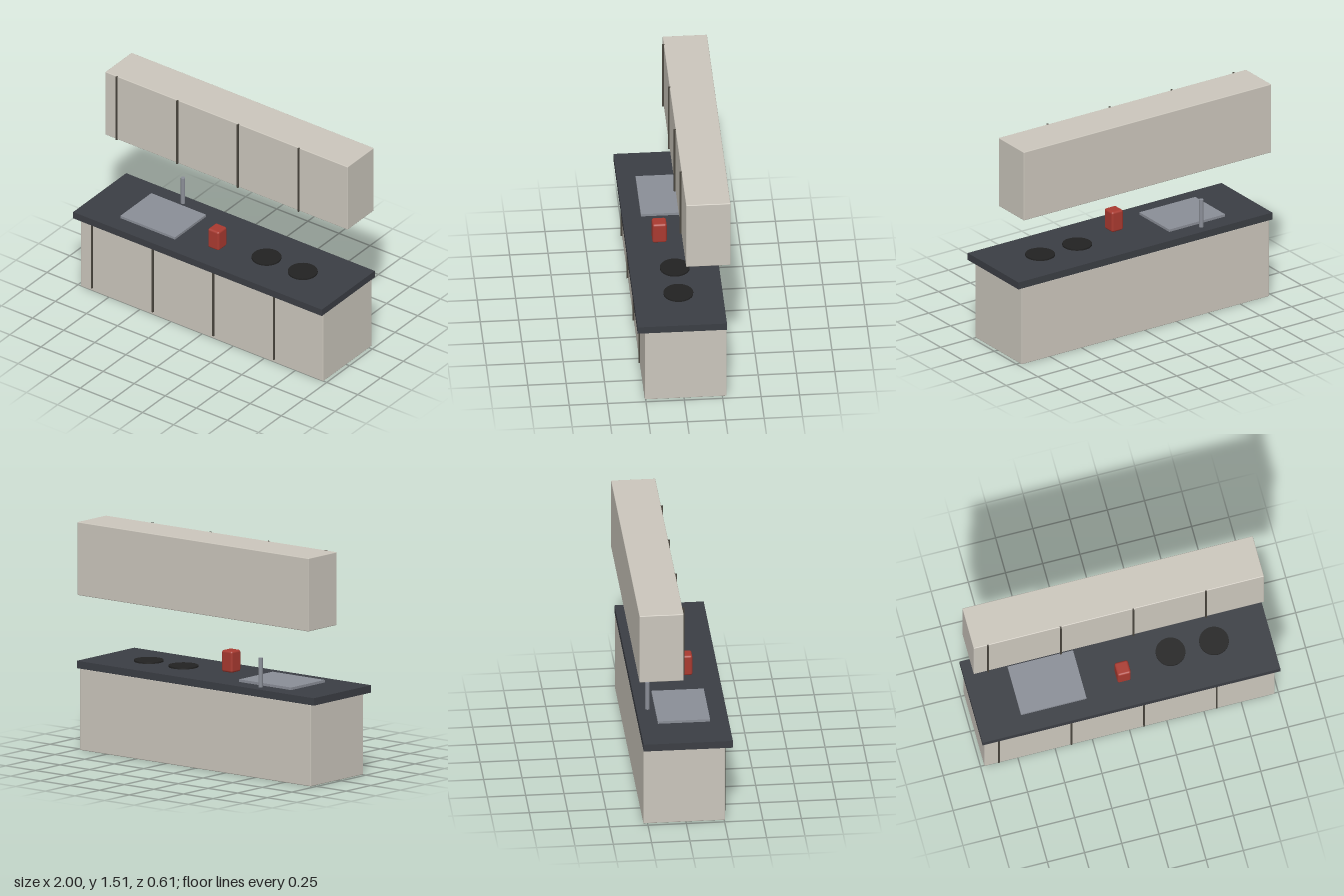
import * as THREE from 'three';
import { RoundedBoxGeometry } from 'three/addons/geometries/RoundedBoxGeometry.js';

const mat = (color) => new THREE.MeshStandardMaterial({ color });
const cream = mat(0xcbc6bc), slate = mat(0x3b3e44), seam = mat(0x4a463e);
const steel = mat(0x8a8e97), black = mat(0x222222), red = mat(0xa93a30);

export function createModel() {
  const model = new THREE.Group();
  model.name = 'kitchenUnit';

  const add = (name, geometry, material, x, y, z) => {
    const mesh = new THREE.Mesh(geometry, material);
    mesh.name = name;
    mesh.position.set(x, y, z);
    model.add(mesh);
  };
  // Box given by its lower and upper corners, optionally with softened edges
  const box = (name, material, [x0, y0, z0], [x1, y1, z1], radius = 0) => {
    const size = [x1 - x0, y1 - y0, z1 - z0];
    const geometry = radius
      ? new RoundedBoxGeometry(...size, 2, radius)
      : new THREE.BoxGeometry(...size);
    add(name, geometry, material, (x0 + x1) / 2, (y0 + y1) / 2, (z0 + z1) / 2);
  };

  // Cabinets and worktop
  box('baseCabinet', cream, [-0.975, 0, -0.278], [0.975, 0.54, 0.255], 0.005);
  box('wallCabinet', cream, [-0.975, 1.028, -0.303], [0.975, 1.512, -0.014], 0.005);
  box('worktop', slate, [-1, 0.538, -0.278], [1, 0.587, 0.304]);

  // Door seams on both cabinet fronts
  for (let i = 0; i < 4; i++) {
    const x = -0.88 + i * 0.488, w = 0.005;
    box('baseDoorSeam', seam, [x - w, 0.025, 0.25], [x + w, 0.514, 0.267]);
    box('wallDoorSeam', seam, [x - w, 1.028, -0.018], [x + w, 1.512, -0.002]);
  }

  // Sink plate and tap
  box('sink', steel, [-0.71, 0.58, -0.158], [-0.27, 0.604, 0.183]);
  add('tap', new THREE.CylinderGeometry(0.0145, 0.0145, 0.2, 16), steel, -0.49, 0.681, -0.205);

  // Hob plates
  for (const x of [0.34, 0.632]) {
    add('hobPlate', new THREE.CylinderGeometry(0.097, 0.097, 0.015, 32), black, x, 0.59, 0.01);
  }

  // Storage tin on the worktop
  box('tin', red, [-0.046, 0.587, 0.038], [0.044, 0.73, 0.132], 0.014);

  return model;
}
